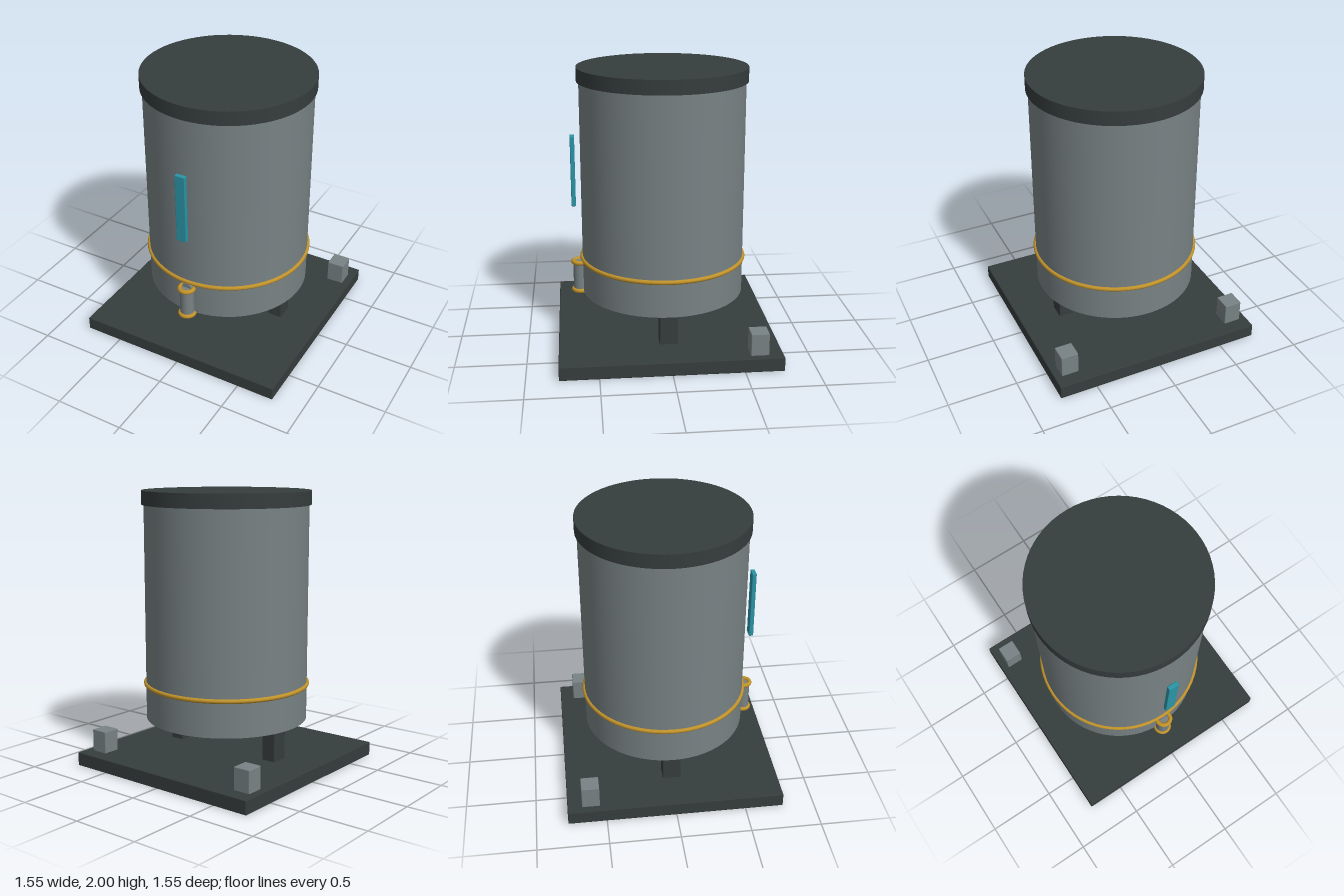
import * as THREE from 'three';
import { RoundedBoxGeometry } from 'three/addons/geometries/RoundedBoxGeometry.js';

export function createModel() {
  const model = new THREE.Group();
  model.name = 'storageTank';

  const material = (name, color) => {
    const m = new THREE.MeshStandardMaterial({ color });
    m.name = name;
    return m;
  };
  const dark = material('darkSteel', 0x363d3d);
  const grey = material('greySteel', 0x788284);
  const brass = material('brass', 0xc0922a);
  const teal = material('tealGlass', 0x2b95a6);

  const add = (name, geometry, mat, x, y, z) => {
    const mesh = new THREE.Mesh(geometry, mat);
    mesh.name = name;
    mesh.position.set(x, y, z);
    model.add(mesh);
    return mesh;
  };
  const box = (name, w, h, d, mat, x, y, z) =>
    add(name, new RoundedBoxGeometry(w, h, d, 1, 0.006), mat, x, y, z);
  const cylinder = (name, r, bottom, top, sides, mat, x, z) =>
    add(name, new THREE.CylinderGeometry(r, r, top - bottom, sides), mat, x, (top + bottom) / 2, z);
  const ring = (name, r, tube, sides, y, z) => {
    const mesh = add(name, new THREE.TorusGeometry(r, tube, 10, sides), brass, 0, y, z);
    mesh.rotation.x = Math.PI / 2;
  };

  // Base plate, the two supports and the rear blocks
  box('basePlate', 1.55, 0.1, 1.55, dark, 0, 0.05, 0);
  for (const [side, s] of [['left', 1], ['right', -1]]) {
    box(side + 'Support', 0.106, 0.28, 0.13, dark, s * 0.432, 0.23, 0);
    box(side + 'RearBlock', 0.128, 0.17, 0.128, grey, s * 0.658, 0.175, -0.608);
  }

  // Tank body, lid and brass band
  cylinder('tankBody', 0.588, 0.35, 1.91, 64, grey, 0, 0);
  cylinder('lid', 0.604, 1.9, 2.0, 64, dark, 0, 0);
  ring('band', 0.59, 0.016, 64, 0.61, 0);

  // Outlet pipe with a collar at each end and a short stub into the tank
  cylinder('outletPipe', 0.051, 0.345, 0.57, 24, grey, 0, 0.608);
  ring('upperCollar', 0.05, 0.017, 24, 0.567, 0.608);
  ring('lowerCollar', 0.05, 0.017, 24, 0.349, 0.608);
  const stub = cylinder('outletStub', 0.042, 0, 0.08, 20, grey, 0, 0.568);
  stub.rotation.x = Math.PI / 2;
  stub.position.y = 0.563;

  // Sight glass in front of the tank
  box('sightGlass', 0.078, 0.514, 0.032, teal, 0, 1.257, 0.643);

  return model;
}
